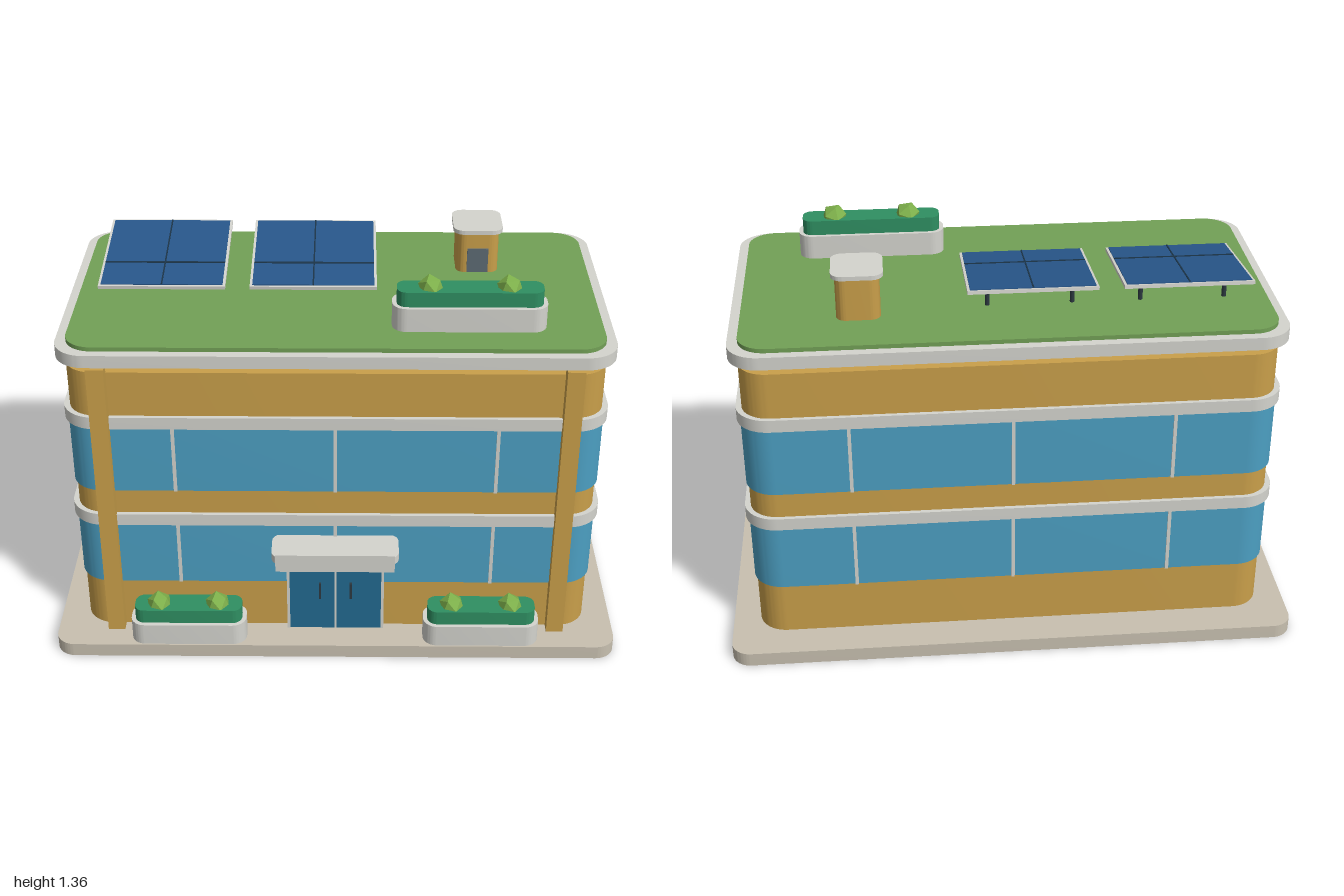
import * as THREE from 'three';
import { toCreasedNormals } from 'three/addons/utils/BufferGeometryUtils.js';

const mat = (color, flatShading = false) => new THREE.MeshStandardMaterial({ color, flatShading });
const M = {
  wall: mat(0xc99f4a), glass: mat(0x4c9fc2), white: mat(0xd4d4ce), stone: mat(0xc8c0b0),
  grass: mat(0x72a056), hedge: mat(0x2f8f62), shrub: mat(0x7fb24c, true), panel: mat(0x28568a),
  line: mat(0x1b3448), door: mat(0x226a90), dark: mat(0x2c3840), hatch: mat(0x5d6b74),
};
const CZ = -0.015; // centre of the building in z

export function createModel() {
  const root = new THREE.Group();
  root.name = 'building';

  const add = (parent, name, geo, material, x = 0, y = 0, z = 0) => {
    const mesh = new THREE.Mesh(geo, material);
    mesh.name = name;
    mesh.position.set(x, y, z);
    parent.add(mesh);
    return mesh;
  };
  const box = (parent, name, m, w, h, d, x, y, z) =>
    add(parent, name, new THREE.BoxGeometry(w, h, d), m, x, y, z);

  // Slab with rounded corners in plan, from y0 to y1
  const slab = (parent, name, m, w, d, r, y0, y1, x = 0, z = CZ) => {
    const a = w / 2, b = d / 2, s = new THREE.Shape();
    s.absarc(a - r, b - r, r, 0, Math.PI / 2);
    s.absarc(-a + r, b - r, r, Math.PI / 2, Math.PI);
    s.absarc(-a + r, -b + r, r, Math.PI, Math.PI * 1.5);
    s.absarc(a - r, -b + r, r, Math.PI * 1.5, Math.PI * 2);
    s.closePath();
    const geo = new THREE.ExtrudeGeometry(s, { depth: y1 - y0, bevelEnabled: false, curveSegments: 10 });
    geo.rotateX(-Math.PI / 2);
    return add(parent, name, toCreasedNormals(geo, 0.6), m, x, y0, z);
  };

  // Base and walls
  slab(root, 'base', M.stone, 2, 1.205, 0.07, 0, 0.05);
  slab(root, 'walls', M.wall, 1.81, 0.95, 0.1, 0.05, 1.09);

  // Two storeys of wrapped glazing, each with a ledge above and mullions all round
  for (const [y0, y1] of [[0.245, 0.49], [0.63, 0.88]]) {
    const storey = new THREE.Group();
    storey.name = 'storey';
    root.add(storey);
    slab(storey, 'glazing', M.glass, 1.826, 0.966, 0.108, y0, y1);
    slab(storey, 'ledge', M.white, 1.85, 0.98, 0.115, y1, y1 + 0.045);
    const h = y1 - y0, y = (y0 + y1) / 2;
    for (const s of [-1, 1]) {
      for (const x of [-0.55, 0, 0.55])
        box(storey, 'mullion', M.white, 0.012, h, 0.012, x, y, CZ + s * 0.483);
      for (const z of [-0.25, 0, 0.25])
        box(storey, 'mullion', M.white, 0.012, h, 0.012, s * 0.913, y, CZ + z);
    }
  }

  // Roof slab and lawn
  slab(root, 'roof', M.white, 1.87, 1.0, 0.11, 1.12, 1.165);
  slab(root, 'roofLawn', M.grass, 1.8, 0.935, 0.095, 1.165, 1.18);

  // Front columns
  for (const s of [-1, 1]) box(root, 'column', M.wall, 0.06, 1.07, 0.045, s * 0.79, 0.585, 0.478);

  // Entrance: two leaves, frame, handles, canopy and blank sign
  const entrance = new THREE.Group();
  entrance.name = 'entrance';
  root.add(entrance);
  for (const s of [-1, 1]) {
    box(entrance, 'doorLeaf', M.door, 0.16, 0.35, 0.03, s * 0.083, 0.225, 0.468);
    box(entrance, 'doorFrame', M.white, 0.01, 0.355, 0.034, s * 0.168, 0.2275, 0.468);
    box(entrance, 'handle', M.dark, 0.008, 0.065, 0.012, s * 0.055, 0.22, 0.488);
  }
  box(entrance, 'doorPost', M.white, 0.007, 0.35, 0.032, 0, 0.225, 0.469);
  slab(entrance, 'canopy', M.white, 0.44, 0.145, 0.04, 0.417, 0.446, 0, 0.533);
  box(entrance, 'sign', M.white, 0.41, 0.068, 0.012, 0, 0.431, 0.611);

  // Planters with a hedge and two shrubs
  const planter = (x, z, y, w, potH) => {
    const g = new THREE.Group();
    g.name = 'planter';
    g.position.set(x, y, z);
    root.add(g);
    slab(g, 'pot', M.white, w, 0.125, 0.05, 0, potH, 0, 0);
    slab(g, 'hedge', M.hedge, w - 0.03, 0.095, 0.035, potH, potH + 0.053, 0, 0);
    for (const s of [-1, 1]) {
      const geo = new THREE.IcosahedronGeometry(0.046, 0);
      geo.rotateX(Math.atan(0.618)); // one corner straight up
      geo.rotateY(0.3);
      add(g, 'shrub', geo, M.shrub, s * w * 0.253, potH + 0.05, 0);
    }
  };
  planter(-0.522, 0.522, 0.052, 0.41, 0.083);
  planter(0.518, 0.522, 0.052, 0.41, 0.083);
  planter(0.448, 0.272, 1.18, 0.52, 0.085);

  // Stair hut on the roof
  const hut = new THREE.Group();
  hut.name = 'roofHut';
  root.add(hut);
  slab(hut, 'hutWalls', M.wall, 0.15, 0.17, 0.035, 1.18, 1.33, 0.502, -0.217);
  slab(hut, 'hutCap', M.white, 0.175, 0.19, 0.04, 1.33, 1.345, 0.502, -0.217);
  box(hut, 'hutDoor', M.hatch, 0.075, 0.09, 0.01, 0.502, 1.228, -0.131);

  // Tilted solar panels on posts
  for (const x of [-0.605, -0.08]) {
    const array = new THREE.Group();
    array.name = 'solarPanel';
    array.position.set(x, 0, -0.12);
    root.add(array);
    const top = new THREE.Group();
    top.name = 'panelTop';
    top.position.y = 1.255;
    top.rotation.x = 0.13;
    array.add(top);
    box(top, 'panelFrame', M.white, 0.44, 0.012, 0.445, 0, 0, 0);
    box(top, 'cells', M.panel, 0.422, 0.008, 0.427, 0, 0.005, 0);
    box(top, 'cellLine', M.line, 0.005, 0.004, 0.427, 0, 0.009, 0);
    box(top, 'cellLine', M.line, 0.422, 0.004, 0.008, 0, 0.009, 0.073);
    for (const s of [-1, 1])
      add(array, 'post', new THREE.CylinderGeometry(0.008, 0.008, 0.082, 10), M.dark, s * 0.145, 1.221, -0.1);
  }
  return root;
}
